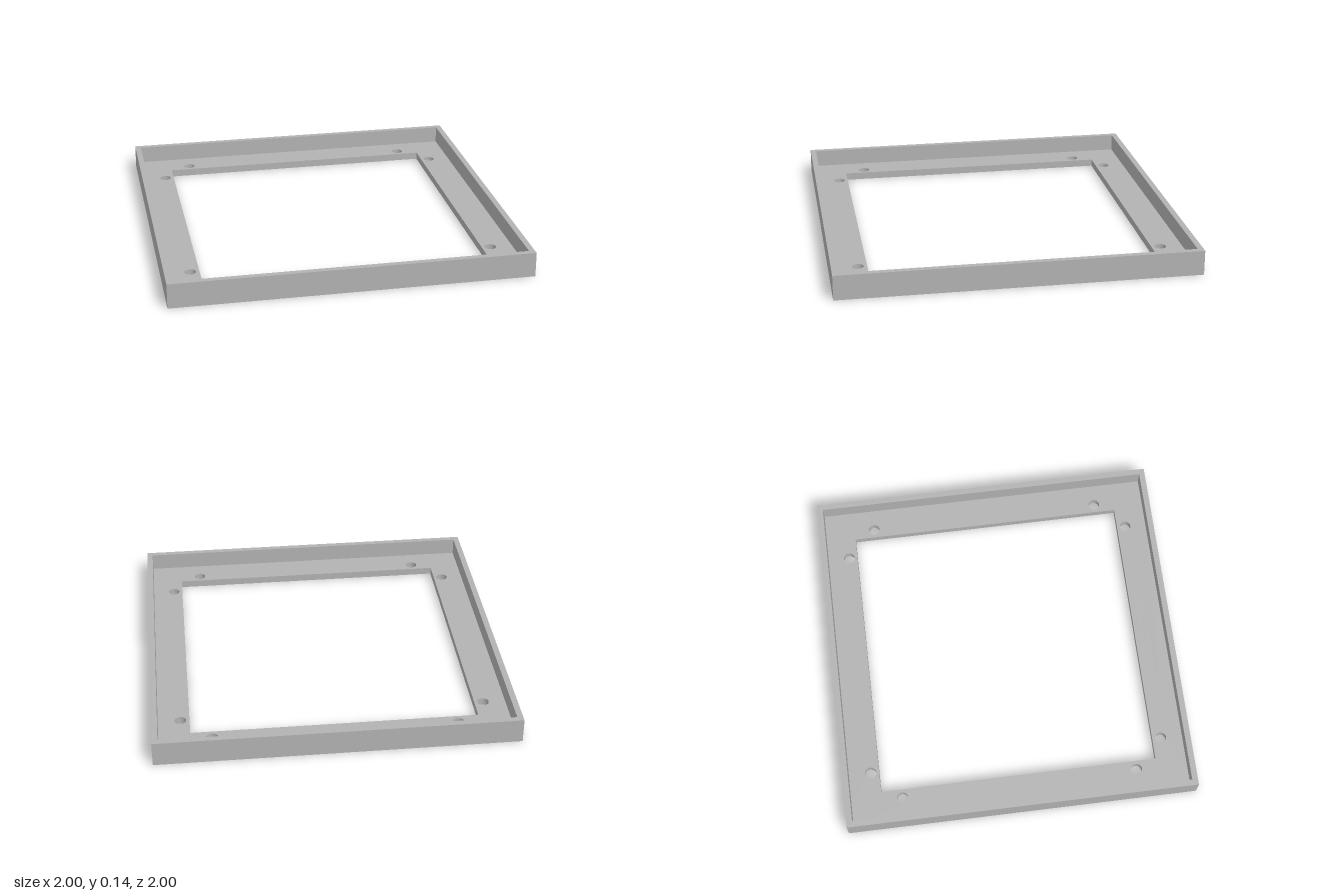
import * as THREE from 'three';

const HEIGHT = 0.14, FLOOR = 0.042, RIM_INNER = 0.967, OPENING = 0.793;
const HOLE_RADIUS = 0.032, HOLE_NEAR = 0.675, HOLE_FAR = 0.843;

// Traces a centred square on a Shape or Path
function square(path, half) {
  path.moveTo(-half, -half);
  path.lineTo(half, -half);
  path.lineTo(half, half);
  path.lineTo(-half, half);
  path.closePath();
  return path;
}

export function createModel() {
  const model = new THREE.Group();
  model.name = 'squareFrame';
  const grey = new THREE.MeshStandardMaterial({ color: 0xb2b2b2 });
  grey.name = 'grey';

  // Flat base with a square opening and a pair of screw holes at each corner
  const shape = square(new THREE.Shape(), 1);
  shape.holes.push(square(new THREE.Path(), OPENING));
  for (const sx of [-1, 1]) {
    for (const sy of [-1, 1]) {
      for (const [x, y] of [[HOLE_NEAR, HOLE_FAR], [HOLE_FAR, HOLE_NEAR]]) {
        shape.holes.push(new THREE.Path().absarc(sx * x, sy * y, HOLE_RADIUS, 0, Math.PI * 2, true));
      }
    }
  }
  const baseGeometry = new THREE.ExtrudeGeometry(shape, { depth: FLOOR, bevelEnabled: false, curveSegments: 16 });
  baseGeometry.rotateX(-Math.PI / 2);
  const base = new THREE.Mesh(baseGeometry, grey);
  base.name = 'base';

  // Thin upright rim: a four-sided lathe turned square to the axes
  const profile = [[1, FLOOR], [1, HEIGHT], [RIM_INNER, HEIGHT], [RIM_INNER, FLOOR]]
    .map(([half, y]) => new THREE.Vector2(half * Math.SQRT2, y));
  const rimGeometry = new THREE.LatheGeometry(profile, 4, Math.PI / 4).toNonIndexed();
  rimGeometry.computeVertexNormals();
  const rim = new THREE.Mesh(rimGeometry, grey);
  rim.name = 'rim';

  model.add(base, rim);
  return model;
}
